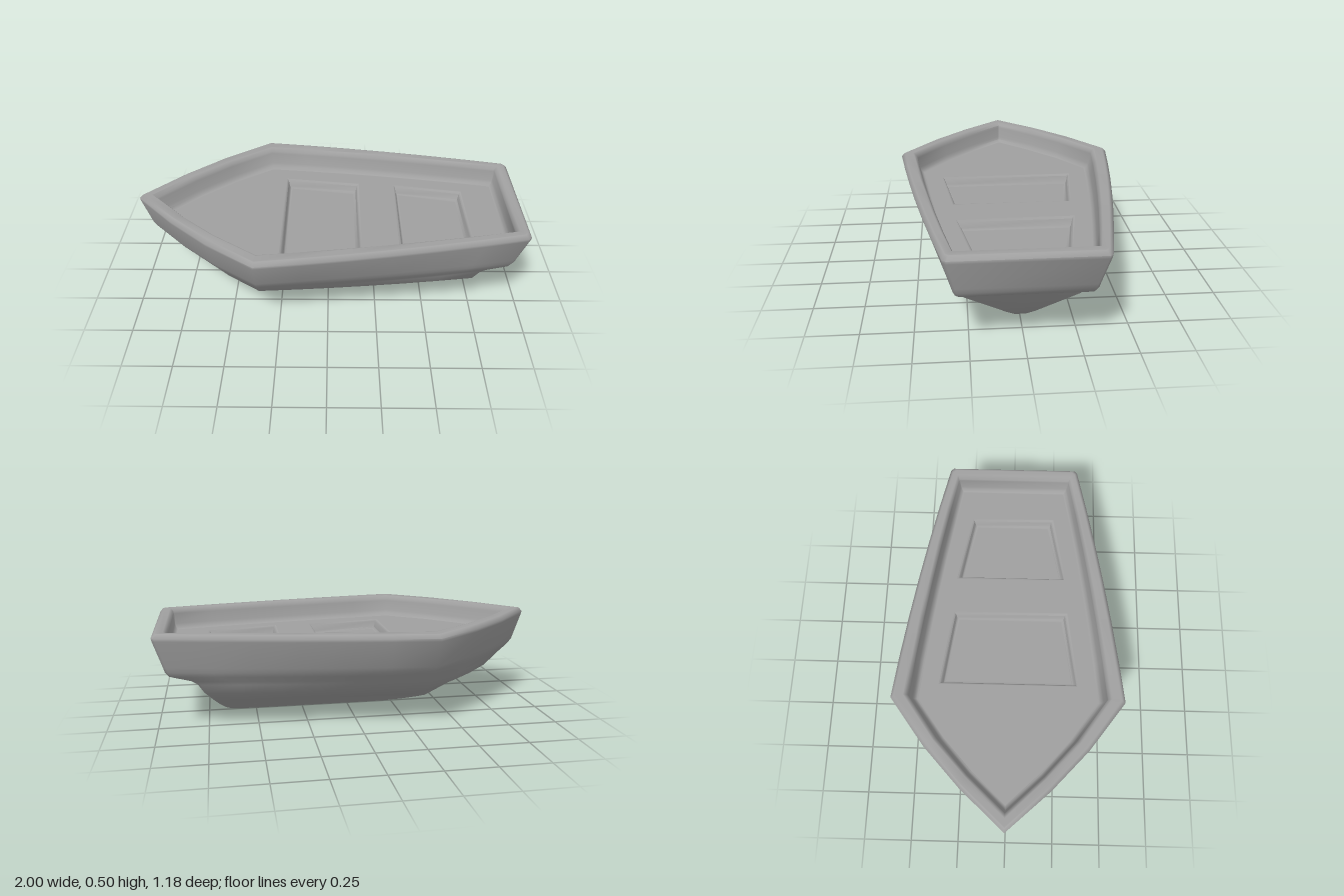
import * as THREE from 'three';
import { toCreasedNormals } from 'three/addons/utils/BufferGeometryUtils.js';

const FLOOR_Y = 0.39;
const RECESS_Y = 0.34;

// Waterlines from keel to gunwale:
// [height, bow x, shoulder x, shoulder half-width, stern x, stern half-width]
const HULL_LEVELS = [
  [0, -0.1, 0, 0, 0.45, 0],
  [0.007, -0.28, -0.2, 0.02, 0.6, 0.018],
  [0.02, -0.45, -0.3, 0.042, 0.66, 0.038],
  [0.055, -0.52, -0.32, 0.11, 0.695, 0.085],
  [0.095, -0.6, -0.34, 0.19, 0.722, 0.14],
  [0.18, -0.79, -0.35, 0.395, 0.765, 0.28],
  [0.23, -0.845, -0.35, 0.44, 0.795, 0.295],
  [0.25, -0.865, -0.35, 0.46, 0.825, 0.3],
  [0.28, -0.9, -0.35, 0.485, 0.93, 0.307],
  [0.305, -0.928, -0.35, 0.507, 0.948, 0.315],
  [0.33, -0.947, -0.35, 0.523, 0.955, 0.32],
  [0.47, -0.997, -0.35, 0.586, 0.997, 0.353],
  [0.485, -1, -0.35, 0.59, 1, 0.355],
  [0.505, -0.98, -0.345, 0.572, 0.983, 0.343],
  [0.505, -0.973, -0.344, 0.566, 0.977, 0.339],
];
// Inner edge of the gunwale, wall and rounded foot down to the floor
const WALL_LEVELS = [
  [0.505, -0.934, -0.339, 0.525, 0.95, 0.32],
  [0.505, -0.927, -0.338, 0.519, 0.945, 0.316],
  [0.488, -0.908, -0.335, 0.503, 0.93, 0.308],
  [0.475, -0.904, -0.335, 0.501, 0.929, 0.307],
  [0.42, -0.888, -0.332, 0.488, 0.925, 0.301],
  [0.405, -0.88, -0.331, 0.482, 0.921, 0.297],
  [FLOOR_Y, -0.864, -0.328, 0.468, 0.911, 0.288],
  [FLOOR_Y, -0.856, -0.327, 0.462, 0.906, 0.284],
];

// Closed plan outline of one waterline: bow, +z side, stern, -z side
function waterline([y, bow, shoulder, wide, stern, narrow], corner) {
  const side = [];
  for (const [f, w] of [[0.31, 0.375], [0.62, 0.69], [1, 1]]) {
    side.push([bow + (shoulder - bow) * f, wide * w]);
  }
  const chamfer = Math.min(corner, narrow * 0.3);
  for (let i = 1; i <= 6; i++) {
    const f = i / 6;
    const bulge = 0.12 * wide * f * (1 - f);
    side.push([
      shoulder + (stern - chamfer - shoulder) * f,
      wide + (narrow - wide) * f + bulge,
    ]);
  }
  side.push([stern, narrow - chamfer]);
  const ring = [[bow, 0], ...side, ...side.map(([x, z]) => [x, -z]).reverse()];
  return ring.map(([x, z]) => new THREE.Vector3(x, y, z));
}

// Skin between successive closed rings
function loft(rings, crease) {
  const n = rings[0].length;
  const index = [];
  for (let k = 0; k < rings.length - 1; k++) {
    for (let i = 0; i < n; i++) {
      const j = (i + 1) % n;
      const a = k * n + i, b = k * n + j, c = b + n, d = a + n;
      index.push(a, b, c, a, c, d);
    }
  }
  const geometry = new THREE.BufferGeometry().setFromPoints(rings.flat());
  geometry.setIndex(index);
  return toCreasedNormals(geometry, crease);
}

// Flat horizontal panel inside a ring, with optional openings
function panel(ring, openings = []) {
  const flat = (r) => r.map((p) => new THREE.Vector2(p.x, -p.z));
  const shape = new THREE.Shape(flat(ring));
  shape.holes = openings.map((r) => new THREE.Path(flat(r)));
  return new THREE.ShapeGeometry(shape).rotateX(-Math.PI / 2).translate(0, ring[0].y, 0);
}

// Tapered four-sided ring of a floor recess
function recessRing([x0, x1, w0, w1], inset, y) {
  return [
    [x0 + inset, w0 - inset], [x1 - inset, w1 - inset],
    [x1 - inset, inset - w1], [x0 + inset, inset - w0],
  ].map(([x, z]) => new THREE.Vector3(x, y, z));
}

export function createModel() {
  const group = new THREE.Group();
  group.name = 'rowingBoat';
  const material = new THREE.MeshStandardMaterial({ color: 0xa0a0a0 });
  const add = (name, geometry) => {
    const mesh = new THREE.Mesh(geometry, material);
    mesh.name = name;
    group.add(mesh);
  };

  // Outer hull, rolled gunwale and inner wall as one continuous skin
  const hull = HULL_LEVELS.map((level) => waterline(level, 0.015));
  const wall = WALL_LEVELS.map((level) => waterline(level, 0.004));
  add('hull', loft([...hull, ...wall], 1.15));

  // Floor with two tapered recesses: [front x, rear x, front half-width, rear half-width]
  const recesses = [[-0.246, 0.171, 0.364, 0.308], [0.36, 0.741, 0.297, 0.23]];
  add('floor', panel(wall[wall.length - 1], recesses.map((r) => recessRing(r, 0, FLOOR_Y))));
  recesses.forEach((r, i) => {
    const rings = [
      [0, FLOOR_Y], [0.006, FLOOR_Y], [0.014, 0.381],
      [0.02, 0.349], [0.028, RECESS_Y], [0.034, RECESS_Y],
    ].map(([inset, y]) => recessRing(r, inset, y));
    add(`recessWall${i + 1}`, loft(rings, 1.2));
    add(`recessFloor${i + 1}`, panel(rings[rings.length - 1]));
  });
  return group;
}
